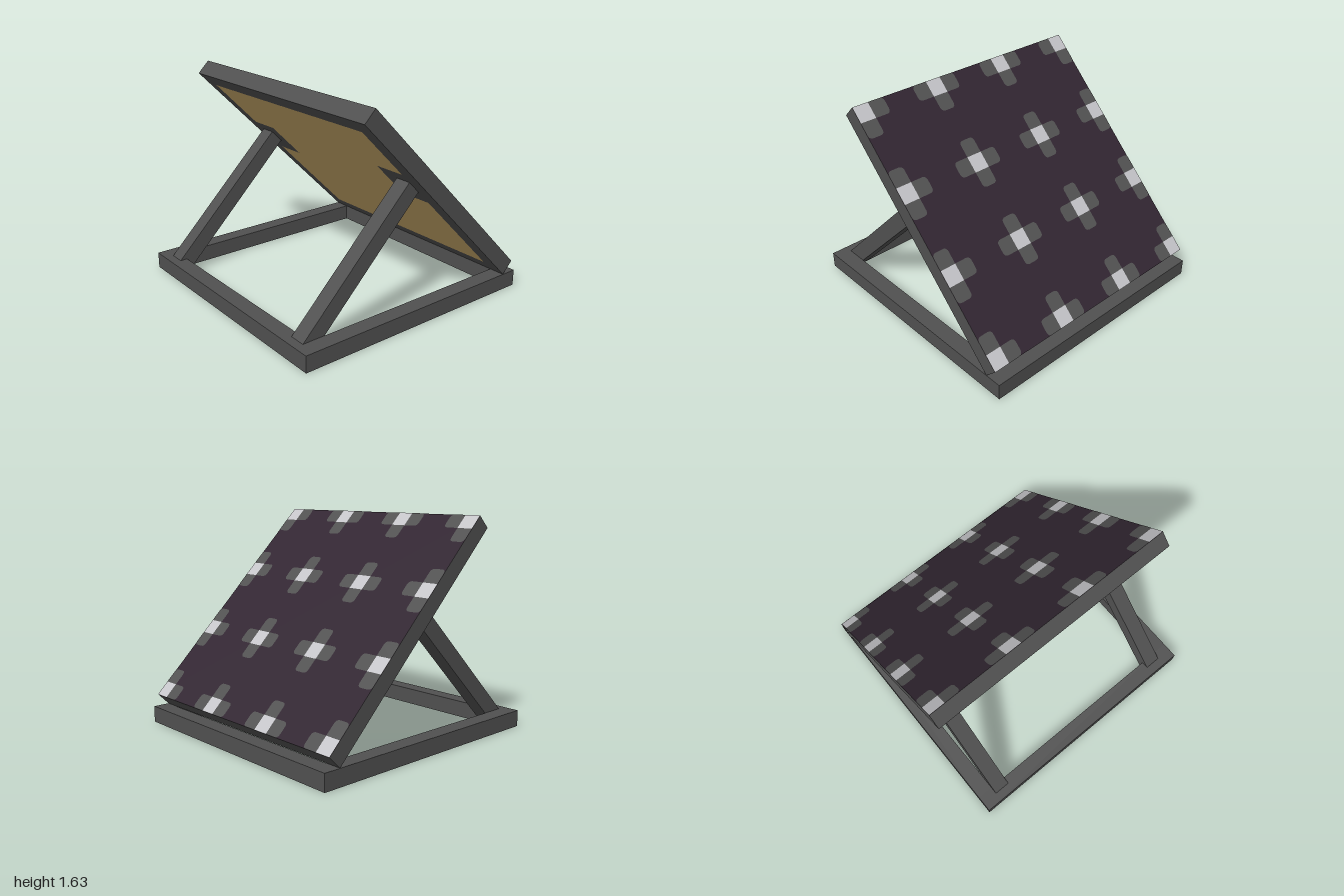
import * as THREE from 'three';

const PX = 0.125; // basic beam width and pattern cell

function mat(name, color) {
  const m = new THREE.MeshStandardMaterial({ color });
  m.name = name;
  return m;
}

// Pattern arm: one cell, with rounded corners on the outer (+y) end
function armShape() {
  const h = PX / 2, r = 0.035;
  const s = new THREE.Shape();
  s.moveTo(-h, -h);
  s.lineTo(h, -h);
  s.lineTo(h, h - r);
  s.quadraticCurveTo(h, h, h - r, h);
  s.lineTo(-h + r, h);
  s.quadraticCurveTo(-h, h, -h, h - r);
  s.closePath();
  return s;
}

export function createModel() {
  const frameMat = mat('darkGreyFrame', 0x505050);
  const cellMat = mat('darkPurpleCell', 0x322632);
  const crossMat = mat('greyContact', 0x525252);
  const nodeMat = mat('paleNode', 0xc6c6ca);
  const backMat = mat('tanBacking', 0xc9a869);

  const model = new THREE.Group();
  const add = (parent, name, geo, material, x = 0, y = 0, z = 0) => {
    const mesh = new THREE.Mesh(geo, material);
    mesh.name = name;
    mesh.position.set(x, y, z);
    parent.add(mesh);
    return mesh;
  };

  // Rectangular base of four rails
  const base = new THREE.Group();
  base.name = 'base';
  model.add(base);
  const mid = 1 - PX / 2;
  for (const s of [-1, 1]) {
    add(base, s > 0 ? 'frontRail' : 'backRail', new THREE.BoxGeometry(2, PX, PX), frameMat, 0, PX / 2, s * mid);
    add(base, s > 0 ? 'leftRail' : 'rightRail', new THREE.BoxGeometry(PX, PX, 2 - 2 * PX), frameMat, s * mid, PX / 2, 0);
  }

  // Sloping support legs, ending flush against the panel's underside
  const legLength = 1.3125, d = (legLength / 2) * Math.SQRT1_2;
  for (const s of [-1, 1]) {
    const leg = add(model, s > 0 ? 'leftLeg' : 'rightLeg', new THREE.BoxGeometry(PX, legLength, PX), frameMat,
      s * 0.8125, 0.984 - d, -0.0165 + d);
    leg.rotation.x = -Math.PI / 4;
  }

  // Tilted panel: local +y is the patterned face, local +z is the raised edge
  const panel = new THREE.Group();
  panel.name = 'panel';
  panel.position.set(0, 0.877, -0.21);
  panel.rotation.x = -Math.PI / 4;
  model.add(panel);
  add(panel, 'panelBoard', new THREE.BoxGeometry(2, PX, 2),
    [frameMat, frameMat, cellMat, frameMat, frameMat, frameMat]);

  // Four by four grid of contacts, arms cut off at the panel border
  const top = PX / 2 + 0.002;
  const rows = [-0.9375, -0.3125, 0.3125, 0.9375];
  const node = new THREE.PlaneGeometry(PX, PX).rotateX(-Math.PI / 2);
  const arms = [0, 1, 2, 3].map((k) =>
    new THREE.ShapeGeometry(armShape(), 5).rotateZ(k * Math.PI / 2).rotateX(-Math.PI / 2));
  const steps = [[0, -1], [-1, 0], [0, 1], [1, 0]];
  for (const x of rows) for (const z of rows) {
    add(panel, 'contactNode', node, nodeMat, x, top, z);
    steps.forEach(([dx, dz], k) => {
      const ax = x + dx * PX, az = z + dz * PX;
      if (Math.abs(ax) < 1 && Math.abs(az) < 1) add(panel, 'contactArm', arms[k], crossMat, ax, top, az);
    });
  }

  // Tan backing on the underside, notched around the leg mounts
  const e = 0.878, n = 0.628, z0 = 0.01, z1 = 0.378;
  const outline = [[-e, -e], [e, -e], [e, z0], [n, z0], [n, z1], [e, z1],
    [e, e], [-e, e], [-e, z1], [-n, z1], [-n, z0], [-e, z0]];
  const backing = new THREE.Shape(outline.map(([x, y]) => new THREE.Vector2(x, y)));
  add(panel, 'backing', new THREE.ShapeGeometry(backing).rotateX(Math.PI / 2), backMat, 0, -PX / 2 - 0.002, 0);

  return model;
}
